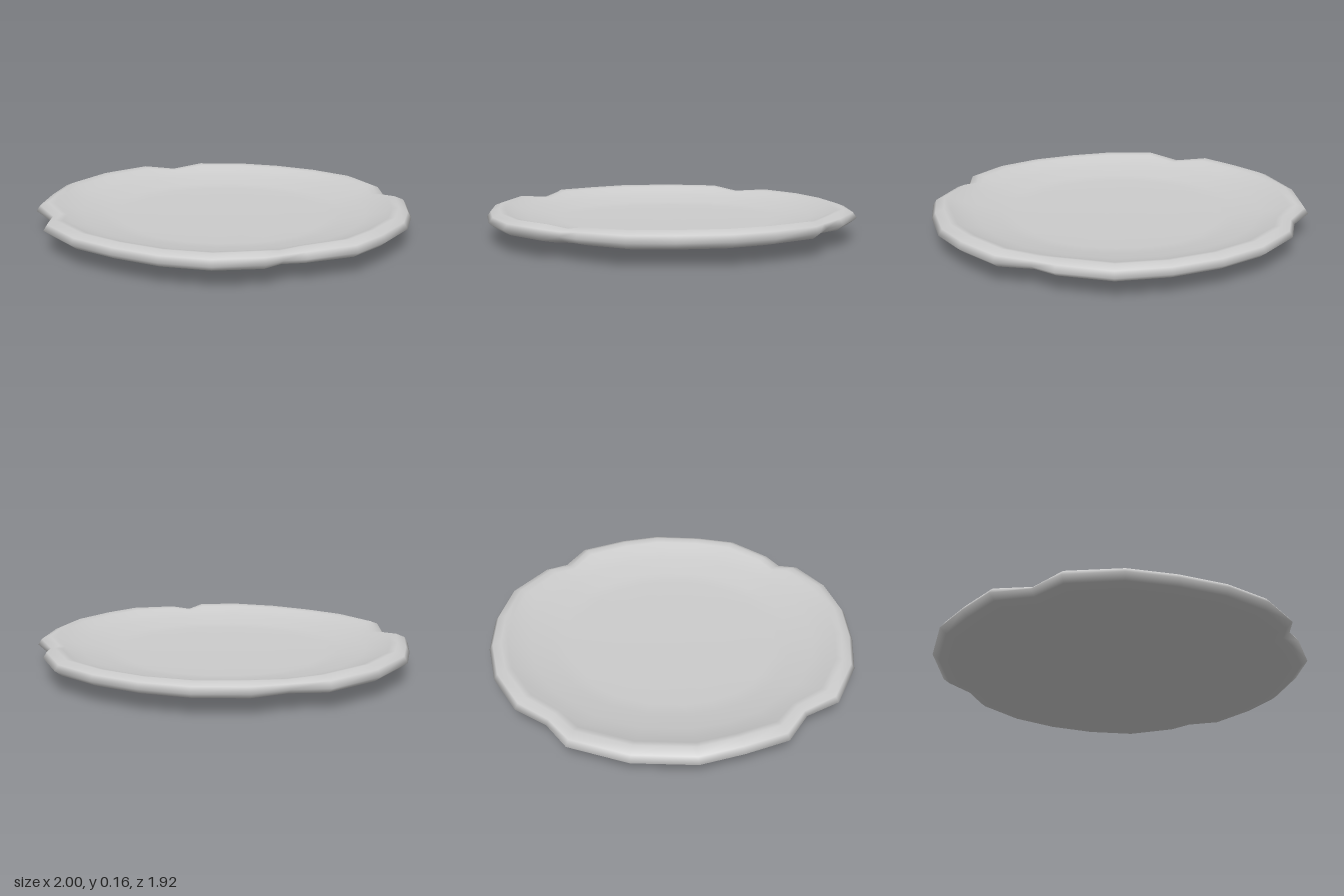
import * as THREE from 'three';

// Uneven lobed outline of the rim, as x, z
const RIM = [
  [-0.11, -0.965], [0.15, -0.965], [0.41, -0.905], [0.63, -0.735], [0.7, -0.62], [0.85, -0.52],
  [0.95, -0.28], [0.995, -0.07], [0.97, 0.19], [0.915, 0.405], [0.745, 0.6], [0.655, 0.665],
  [0.615, 0.765], [0.415, 0.9], [0.175, 0.96], [-0.08, 0.96], [-0.325, 0.925], [-0.585, 0.8],
  [-0.68, 0.63], [-0.85, 0.525], [-0.935, 0.31], [-1, 0.095], [-0.98, -0.22], [-0.865, -0.515],
  [-0.71, -0.62], [-0.595, -0.78], [-0.36, -0.91],
];

// Cross-section from the underside centre, round the rim, to the top centre:
// radius, height, share of the lobed outline (0 = circle), rise and dip along the rim
const PROFILE = [
  [0, 0.01, 0, 0], [0.3, 0.009, 0, 0], [0.55, 0.008, 0, 0], [0.61, 0.02, 0.1, 0],
  [0.73, 0.05, 0.4, 0], [0.89, 0.068, 0.9, 0], [0.965, 0.085, 1, 0], [1, 0.112, 1, 0.1],
  [0.98, 0.14, 1, 0.6], [0.935, 0.156, 1, 1], [0.9, 0.149, 0.9, 0.8],
  [0.855, 0.129, 0.6, 0.3], [0.78, 0.114, 0.25, 0], [0.66, 0.092, 0, 0],
  [0.57, 0.083, 0, 0], [0.3, 0.08, 0, 0], [0, 0.079, 0, 0],
];

function plateGeometry() {
  const n = RIM.length;
  const last = PROFILE.length - 1;
  const positions = [];
  const index = [];
  const rows = [];

  // One ring per profile point; the two ends are single points
  PROFILE.forEach(([s, y, lobed, wave], row) => {
    rows.push(positions.length / 3);
    if (s === 0) {
      positions.push(0, y, 0);
      return;
    }
    for (const [x, z] of RIM) {
      const r = Math.hypot(x, z);
      const k = s * THREE.MathUtils.lerp(0.97 / r, 1, lobed);
      // The side lobes stand slightly higher and the four notches dip
      const notch = Math.abs(x) > 0.5 ? THREE.MathUtils.clamp((0.96 - r) / 0.02, 0, 1) : 0;
      // The foot is slightly tilted, lowest at the back
      const tilt = row < 4 ? 0.012 * z * k : 0;
      positions.push(x * k, y + wave * (0.008 * x * x - 0.02 * notch) + tilt, z * k);
    }
  });

  for (let row = 0; row < last; row++) {
    for (let i = 0; i < n; i++) {
      const j = (i + 1) % n;
      const a = rows[row], b = rows[row + 1];
      if (row === 0) index.push(a, b + i, b + j);
      else if (row === last - 1) index.push(a + i, b, a + j);
      else index.push(a + i, b + i, a + j, b + i, b + j, a + j);
    }
  }

  const geometry = new THREE.BufferGeometry();
  geometry.setAttribute('position', new THREE.Float32BufferAttribute(positions, 3));
  geometry.setIndex(index);
  geometry.computeVertexNormals();
  return geometry;
}

export function createModel() {
  const group = new THREE.Group();
  group.name = 'lobedPlate';
  const plate = new THREE.Mesh(plateGeometry(), new THREE.MeshStandardMaterial({ color: 0xcccccc }));
  plate.name = 'plate';
  group.add(plate);
  return group;
}
